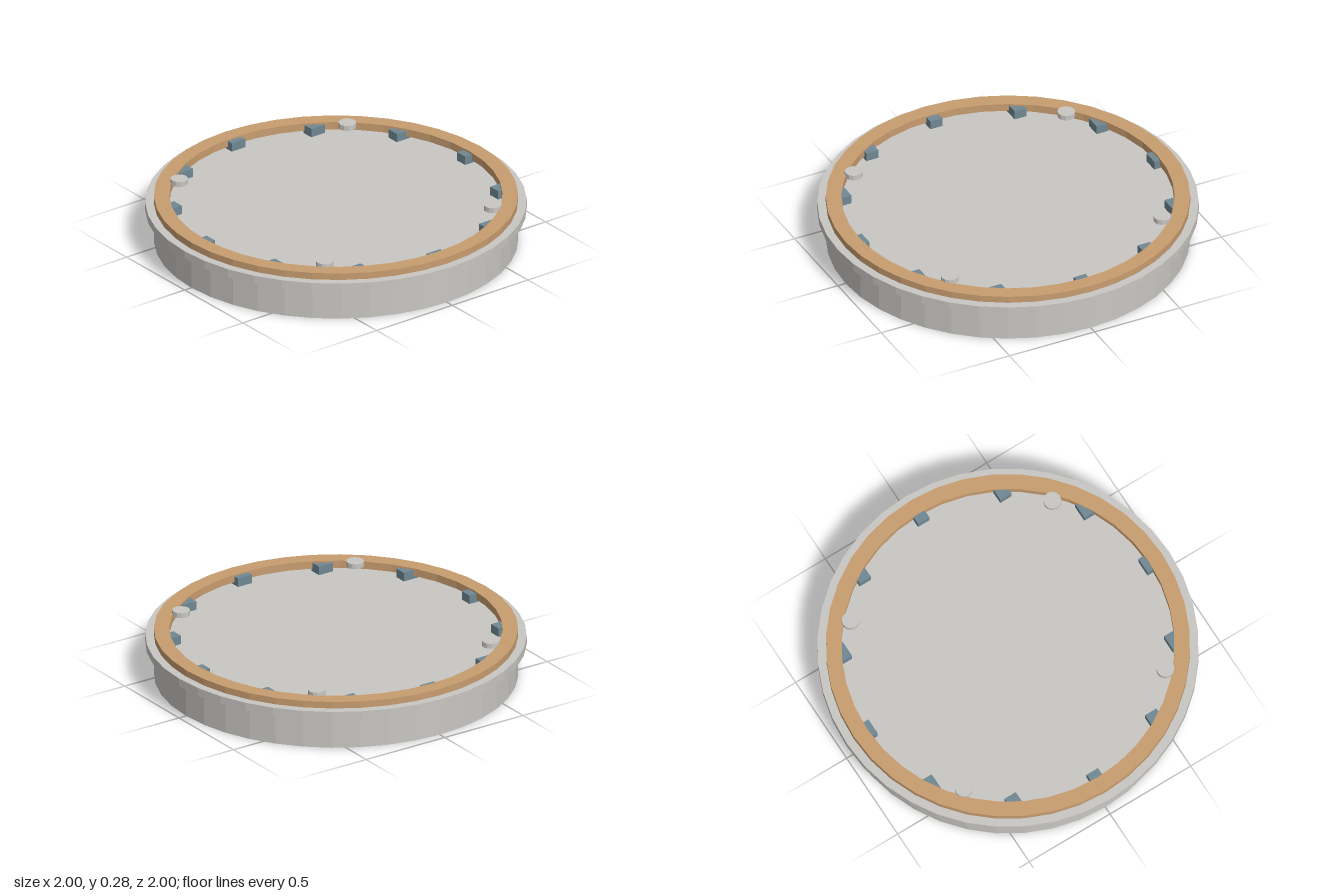
import * as THREE from 'three';

const SEGMENTS = 40;

function material(name, color) {
  const m = new THREE.MeshStandardMaterial({ color, flatShading: true });
  m.name = name;
  return m;
}

export function createModel() {
  const model = new THREE.Group();
  model.name = 'roundBase';

  const stone = material('warmGrey', 0xc9c7c3);
  const wood = material('tanWood', 0xc89d70);
  const slate = material('slateBlue', 0x708894);
  const shell = material('warmGreyShell', 0xc9c7c3);
  shell.side = THREE.DoubleSide;

  function add(name, geometry, mat, x = 0, y = 0, z = 0) {
    const mesh = new THREE.Mesh(geometry, mat);
    mesh.name = name;
    mesh.position.set(x, y, z);
    model.add(mesh);
  }

  // Solid cylinder standing between two heights
  const drum = (r, y0, y1, sides) =>
    new THREE.CylinderGeometry(r, r, y1 - y0, sides).translate(0, (y0 + y1) / 2, 0);

  // Ring turned from a profile of [radius, height] points
  const turned = (profile) =>
    new THREE.LatheGeometry(profile.map(([r, y]) => new THREE.Vector2(r, y)), SEGMENTS);

  // Drum body, whose top is the recessed floor
  add('body', drum(0.955, 0, 0.204, SEGMENTS), stone);

  // Thin flange, open underneath
  add('flange', turned([[1, 0.181], [1, 0.225], [0.95, 0.225]]), shell);

  // Raised wooden rim
  add('rim', turned([[0.873, 0.22], [0.955, 0.22], [0.955, 0.262], [0.873, 0.262], [0.873, 0.22]]), wood);

  // Twelve blocks half under the rim, all square to the axes
  const blockGeometry = new THREE.BoxGeometry(0.07, 0.052, 0.09);
  for (let i = 0; i < 12; i++) {
    const a = (i / 12) * Math.PI * 2;
    add('block', blockGeometry, slate, 0.872 * Math.sin(a), 0.226, 0.872 * Math.cos(a));
  }

  // Four studs level with the top of the rim
  const studGeometry = drum(0.047, 0.252, 0.28, 12);
  for (const x of [-0.625, 0.625]) {
    for (const z of [-0.555, 0.555]) add('stud', studGeometry, stone, x, 0, z);
  }

  return model;
}
